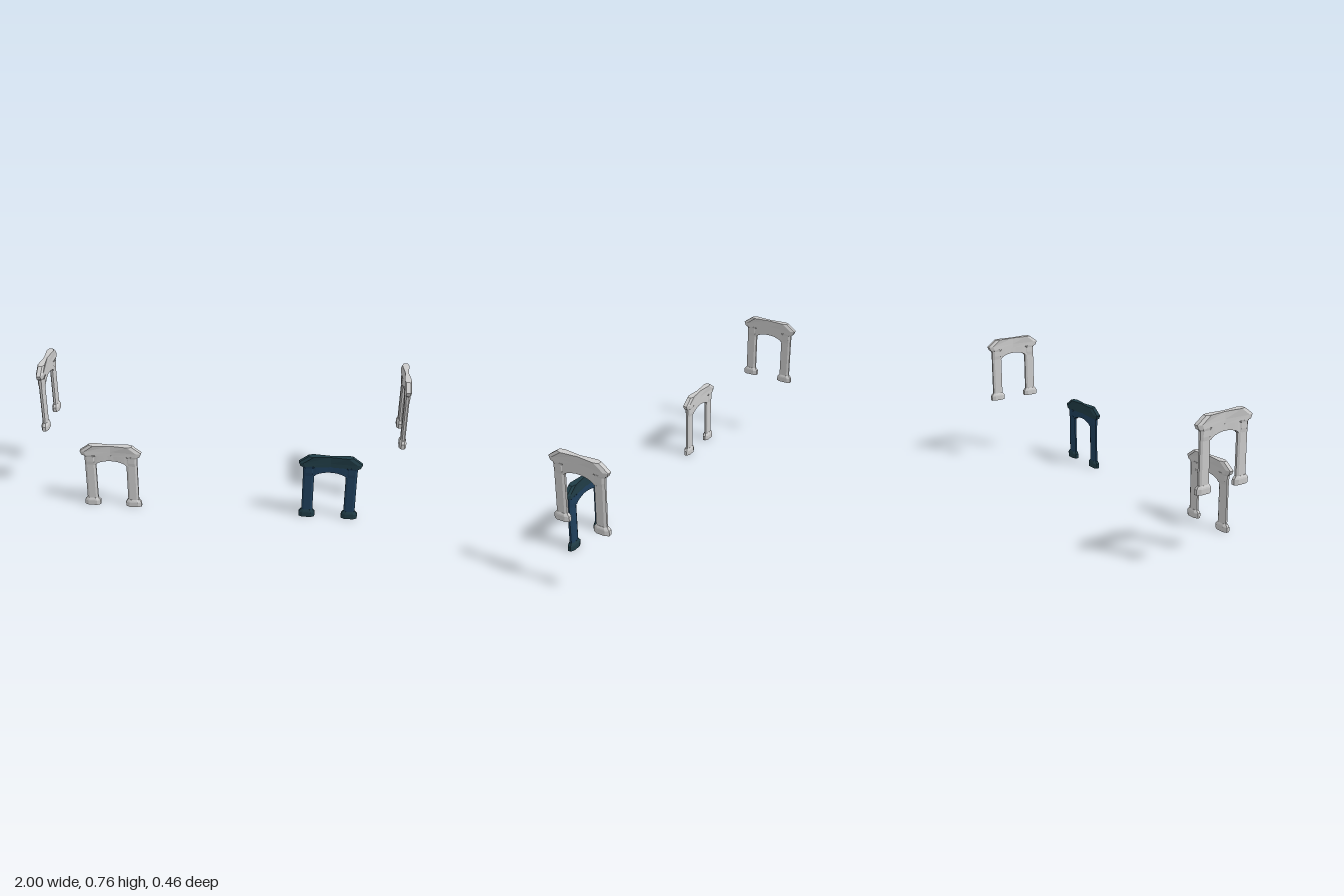
import * as THREE from 'three';

const stone = new THREE.MeshStandardMaterial({ color: 0xcbcbcb });
stone.name = 'pale stone';
const navy = new THREE.MeshStandardMaterial({ color: 0x1f3f5c });
navy.name = 'navy';
const teal = new THREE.MeshStandardMaterial({ color: 0x203c46 });
teal.name = 'dark teal';

// Closed faceted solid through a list of rings of [x, y, z] points
function loft(rings) {
  const pos = [];
  const tri = (a, b, c) => pos.push(...a, ...b, ...c);
  const n = rings[0].length;
  const middle = (r) => [0, 1, 2].map((k) => r.reduce((s, p) => s + p[k], 0) / n);
  const first = rings[0], last = rings[rings.length - 1];
  const c0 = middle(first), c1 = middle(last);
  for (let j = 0; j < n; j++) {
    const k = (j + 1) % n;
    for (let i = 0; i < rings.length - 1; i++) {
      const lo = rings[i], hi = rings[i + 1];
      tri(lo[j], hi[j], lo[k]);
      tri(lo[k], hi[j], hi[k]);
    }
    tri(c0, first[j], first[k]);
    tri(c1, last[k], last[j]);
  }
  const geo = new THREE.BufferGeometry();
  geo.setAttribute('position', new THREE.Float32BufferAttribute(pos, 3));
  geo.computeVertexNormals();
  return geo;
}

// Chamfered octagon at height y, centred on x = cx
function octagon(y, cx, w, d, flatX, flatZ) {
  const a = w * flatX, b = d * flatZ;
  return [[w, -b], [w, b], [a, d], [-a, d], [-w, b], [-w, -b], [-a, -d], [a, -d]]
    .map(([x, z]) => [cx + x, y, z]);
}

// Cap outline: chamfered ends, pinched at the middle
function capRing(y, w) {
  const c = w - 0.025;
  return [[w, -0.011], [w, 0.011], [c, 0.019], [0, 0.009], [-c, 0.019],
    [-w, 0.011], [-w, -0.011], [-c, -0.019], [0, -0.009], [c, -0.019]]
    .map(([x, z]) => [x, y, z]);
}

const capGeo = loft([[0.317, 0.159], [0.34, 0.169], [0.378, 0.118]].map(([y, w]) => capRing(y, w)));

// [height, half width, half depth]
const footGeo = loft([[0, 0.0435, 0.019], [0.027, 0.0435, 0.019], [0.034, 0.038, 0.0175], [0.043, 0.031, 0.013]]
  .map(([y, w, d]) => octagon(y, 0, w, d, 0.55, 0.45)));
const pillarGeo = loft([[0.04, 0.03, 0.0122], [0.258, 0.03, 0.0122], [0.278, 0.03, 0.015],
  [0.307, 0.031, 0.0155], [0.318, 0.041, 0.018]]
  .map(([y, w, d]) => octagon(y, 0, w, d, 0.6, 0.45)));

// Arched beam: underside curve and thickness change along x
const archHalf = [[0.1, 0.256, 0.0125], [0.084, 0.259, 0.0125], [0.077, 0.268, 0.013],
  [0.06, 0.276, 0.0125], [0.037, 0.282, 0.011], [0.015, 0.2845, 0.0095]];
const arch = [...archHalf.map(([x, y, d]) => [-x, y, d]), ...archHalf.slice().reverse()];
const beamGeo = loft(arch.map(([x, y, d]) =>
  [[x, 0.319, d], [x, 0.319, -d], [x, y, -d], [x, y, d]]));

function makeArch(name, bodyMat, trimMat) {
  const group = new THREE.Group();
  group.name = name;
  const add = (part, geo, mat, x = 0) => {
    const mesh = new THREE.Mesh(geo, mat);
    mesh.name = part;
    mesh.position.x = x;
    group.add(mesh);
  };
  add('cap', capGeo, trimMat);
  add('archBeam', beamGeo, bodyMat);
  for (const [side, s] of [['left', 1], ['right', -1]]) {
    add(side + 'Pillar', pillarGeo, bodyMat, s * 0.1145);
    add(side + 'Foot', footGeo, trimMat, s * 0.1155);
  }
  return group;
}

export function createModel() {
  const model = new THREE.Group();
  model.name = 'arches';
  // name, position, turn, body and trim colours
  const layout = [
    ['frontLeftArch', [0.601, 0, 0.21], 0, navy, teal],
    ['frontRightArch', [-0.588, 0, 0.21], 0, stone, stone],
    ['upperLeftArch', [0.981, 0.38, -0.061], Math.PI / 2, stone, stone],
    ['upperRightArch', [-0.981, 0.38, -0.061], -Math.PI / 2, stone, stone],
  ];
  for (const [name, position, turn, body, trim] of layout) {
    const arch = makeArch(name, body, trim);
    arch.position.set(...position);
    arch.rotation.y = turn;
    model.add(arch);
  }
  return model;
}
